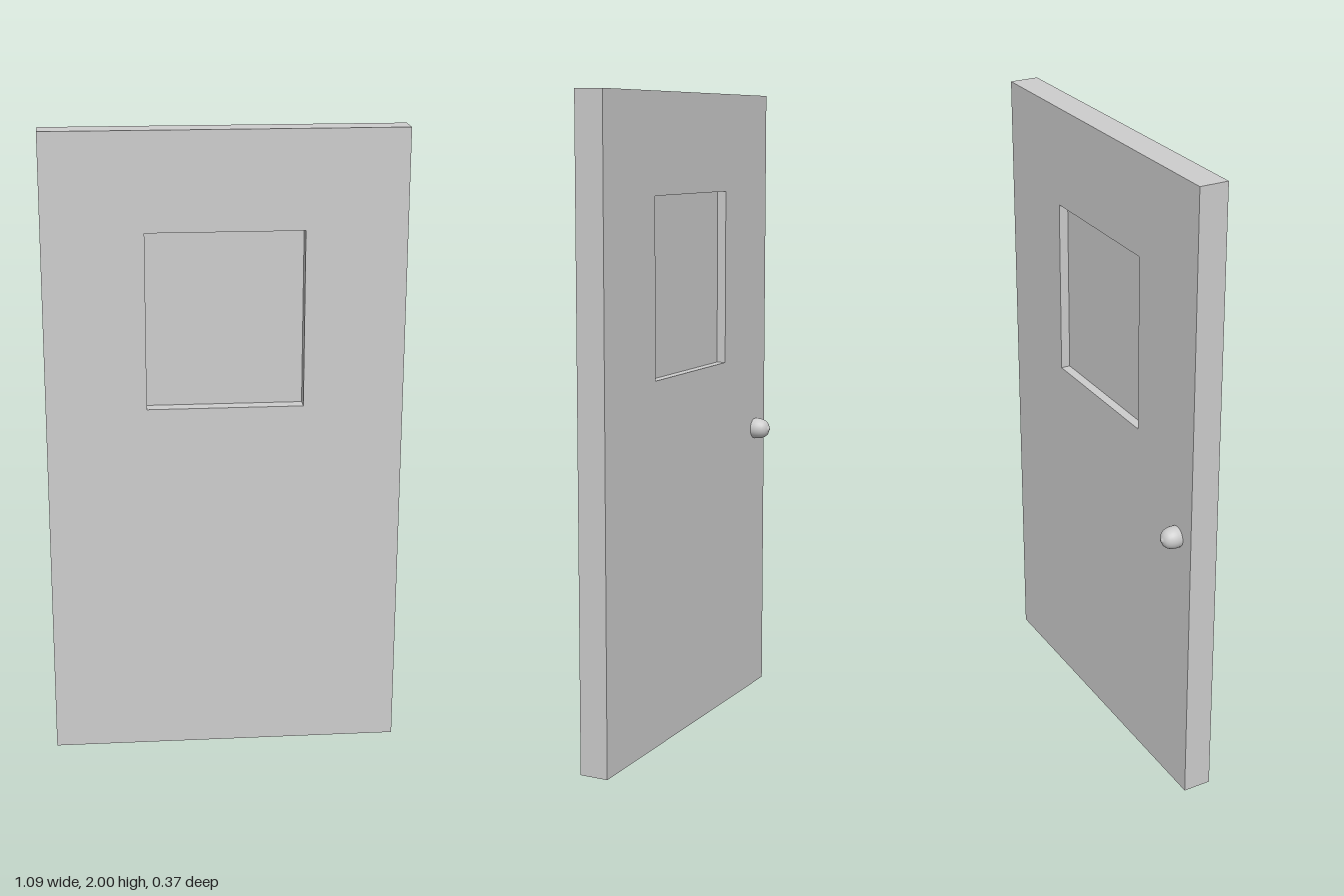
import * as THREE from 'three';

export function createModel() {
  const grey = new THREE.MeshStandardMaterial({ color: 0xcccccc });
  grey.name = 'light grey';

  const model = new THREE.Group();
  model.name = 'door';
  const W = 1.106, H = 2, T = 0.09;
  const win = { x0: -0.243, x1: 0.242, y0: 1.145, y1: 1.695 };

  function add(name, geometry, x = 0, y = 0, z = 0) {
    const mesh = new THREE.Mesh(geometry, grey);
    mesh.name = name;
    mesh.position.set(x, y, z);
    model.add(mesh);
    return mesh;
  }

  // Door slab with a rectangular window opening
  const slab = new THREE.Shape();
  slab.moveTo(-W / 2, 0).lineTo(W / 2, 0).lineTo(W / 2, H).lineTo(-W / 2, H).closePath();
  const opening = new THREE.Path();
  opening.moveTo(win.x0, win.y0).lineTo(win.x0, win.y1)
    .lineTo(win.x1, win.y1).lineTo(win.x1, win.y0).closePath();
  slab.holes.push(opening);
  add('doorSlab', new THREE.ExtrudeGeometry(slab, { depth: T, bevelEnabled: false }), 0, 0, -T / 2);

  // Recessed window pane
  add('windowPane', new THREE.BoxGeometry(win.x1 - win.x0, win.y1 - win.y0, 0.016),
    (win.x0 + win.x1) / 2, (win.y0 + win.y1) / 2, -0.008);

  // Rounded knob on the back, with a short collar and a small button at its tip
  const profile = [
    [0.033, 0], [0.034, 0.012], [0.0335, 0.018], [0.032, 0.028], [0.028, 0.038],
    [0.021, 0.046], [0.012, 0.0505], [0.006, 0.052], [0.005, 0.055], [0, 0.0555],
  ].map(([r, y]) => new THREE.Vector2(r, y));
  const knob = add('doorKnob', new THREE.LatheGeometry(profile, 28), -0.476, 0.895, -T / 2);
  knob.rotation.x = -Math.PI / 2;

  // The door stands slightly ajar
  model.rotation.y = 0.254;
  const root = new THREE.Group();
  root.name = 'doorModel';
  root.add(model);
  return root;
}
